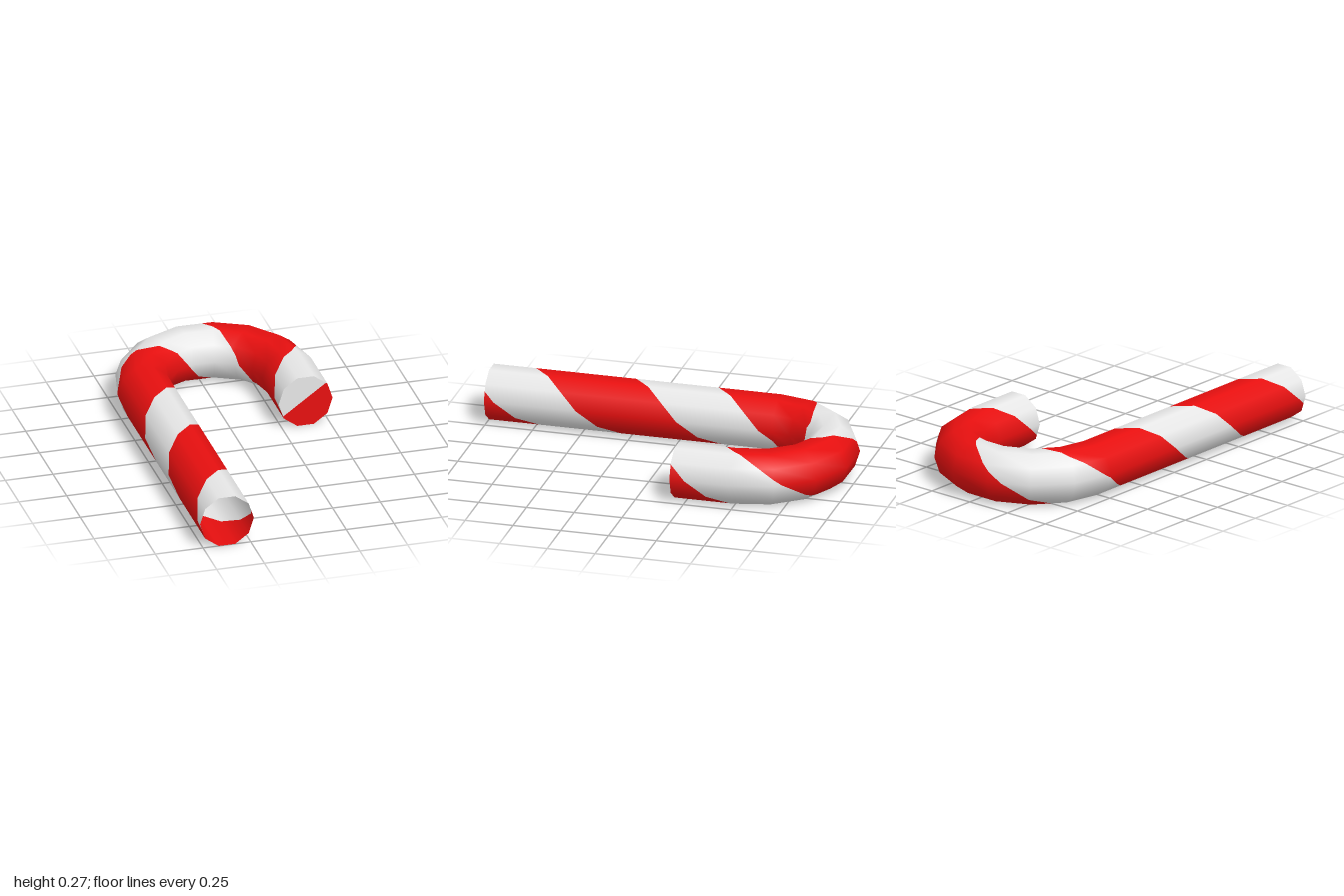
import * as THREE from 'three';

const TUBE = 0.141, BEND = 0.375, SIDES = 10, STEP = 360 / SIDES, BEND_STEPS = 7;
const MID_Y = TUBE * Math.sin(THREE.MathUtils.degToRad(72));

// Stripe helix: distance along the cane advanced over one turn, and width of a red band
const TOP_RISE = 0.43, BOTTOM_RISE = 0.525, PITCH = TOP_RISE + BOTTOM_RISE;
const RED_START = 0.05, RED_WIDTH = 0.525;

// Rings along the cane: straight shaft, half-circle hook, short straight tip
function makeRings() {
  const rings = [{ s: 0, a: 0, x: -BEND, z: 1 }];
  for (let k = 0; k <= BEND_STEPS; k++) {
    const t = k / BEND_STEPS, a = Math.PI * t;
    rings.push({
      s: 1.508 + BEND * a, a,
      x: -BEND * Math.cos(a), z: -0.508 + 0.02 * t - BEND * Math.sin(a),
    });
  }
  const last = rings[rings.length - 1];
  rings.push({ s: last.s + 0.306, a: Math.PI, x: BEND, z: last.z + 0.306 });
  return rings;
}

const rings = makeRings();
const END = rings[rings.length - 1].s;

// Outward direction on a ring at an angle in degrees (0 = outer side of hook, 90 = top)
function outward(ring, deg) {
  const t = THREE.MathUtils.degToRad(deg);
  return new THREE.Vector3(
    -Math.cos(ring.a) * Math.cos(t), Math.sin(t), -Math.sin(ring.a) * Math.cos(t));
}

// Position and smooth normal on the faceted tube
function surface(deg, s) {
  let j = 0;
  while (j < rings.length - 2 && s > rings[j + 1].s) j++;
  const side = Math.floor(deg / STEP), u = deg / STEP - side;
  const v = (s - rings[j].s) / (rings[j + 1].s - rings[j].s);
  const onRing = (ring) => {
    const normal = outward(ring, side * STEP).lerp(outward(ring, (side + 1) * STEP), u);
    const position = new THREE.Vector3(ring.x, MID_Y, ring.z).addScaledVector(normal, TUBE);
    return { position, normal };
  };
  const a = onRing(rings[j]), b = onRing(rings[j + 1]);
  return {
    position: a.position.lerp(b.position, v),
    normal: a.normal.lerp(b.normal, v).normalize(),
  };
}

const rise = (deg) => deg <= 180
  ? TOP_RISE * deg / 180
  : TOP_RISE + BOTTOM_RISE * (deg - 180) / 180;

// Keep the part of a polygon of [deg, s] points where sign * (phase - limit) >= 0
function clip(poly, limit, sign) {
  const out = [];
  const d = (p) => sign * (p[1] - rise(p[0]) - limit);
  poly.forEach((p, i) => {
    const q = poly[(i + 1) % poly.length], dp = d(p), dq = d(q);
    if (dp >= 0) out.push(p);
    if (dp * dq < 0) {
      const t = dp / (dp - dq);
      out.push([p[0] + (q[0] - p[0]) * t, p[1] + (q[1] - p[1]) * t]);
    }
  });
  return out;
}

// Geometry from fans of { position, normal } corners
function fanGeometry(fans) {
  const positions = [], normals = [];
  for (const fan of fans) {
    for (let i = 1; i < fan.length - 1; i++) {
      for (const c of [fan[0], fan[i], fan[i + 1]]) {
        positions.push(...c.position.toArray());
        normals.push(...c.normal.toArray());
      }
    }
  }
  const g = new THREE.BufferGeometry();
  g.setAttribute('position', new THREE.Float32BufferAttribute(positions, 3));
  g.setAttribute('normal', new THREE.Float32BufferAttribute(normals, 3));
  return g;
}

// All tube facets cut to the spiral bands that begin at start and have the given width
function stripes(start, width) {
  const fans = [];
  for (let j = 0; j < rings.length - 1; j++) {
    for (let i = 0; i < SIDES; i++) {
      const a = i * STEP, b = a + STEP, s0 = rings[j].s, s1 = rings[j + 1].s;
      for (let k = -2; k <= 4; k++) {
        const from = start + k * PITCH;
        let poly = [[a, s0], [b, s0], [b, s1], [a, s1]];
        poly = clip(clip(poly, from, 1), from + width, -1);
        if (poly.length > 2) fans.push(poly.map(([deg, s]) => surface(deg, s)));
      }
    }
  }
  return fanGeometry(fans);
}

// Part of the flat tip between two angles
function tipCap(from, to) {
  const angles = [from];
  for (let d = Math.ceil(from / STEP) * STEP; d < to; d += STEP) angles.push(d);
  angles.push(to);
  const normal = new THREE.Vector3(0, 0, 1);
  return fanGeometry([angles.map((d) => ({ position: surface(d, END).position, normal }))]);
}

export function createModel() {
  const red = new THREE.MeshStandardMaterial({ color: 0xec1010, side: THREE.DoubleSide });
  red.name = 'candy red';
  const white = new THREE.MeshStandardMaterial({ color: 0xe8e8e8, side: THREE.DoubleSide });
  white.name = 'sugar white';

  const group = new THREE.Group();
  group.name = 'candyCane';
  const add = (name, geometry, material) => {
    const mesh = new THREE.Mesh(geometry, material);
    mesh.name = name;
    group.add(mesh);
  };

  // Spiral bands; the shaft end stays open
  add('redStripes', stripes(RED_START, RED_WIDTH), red);
  add('whiteStripes', stripes(RED_START + RED_WIDTH, PITCH - RED_WIDTH), white);

  // Closed tip of the hook, split where the bands meet it
  add('redTip', tipCap(-149, 40), red);
  add('whiteTip', tipCap(40, 211), white);
  return group;
}
